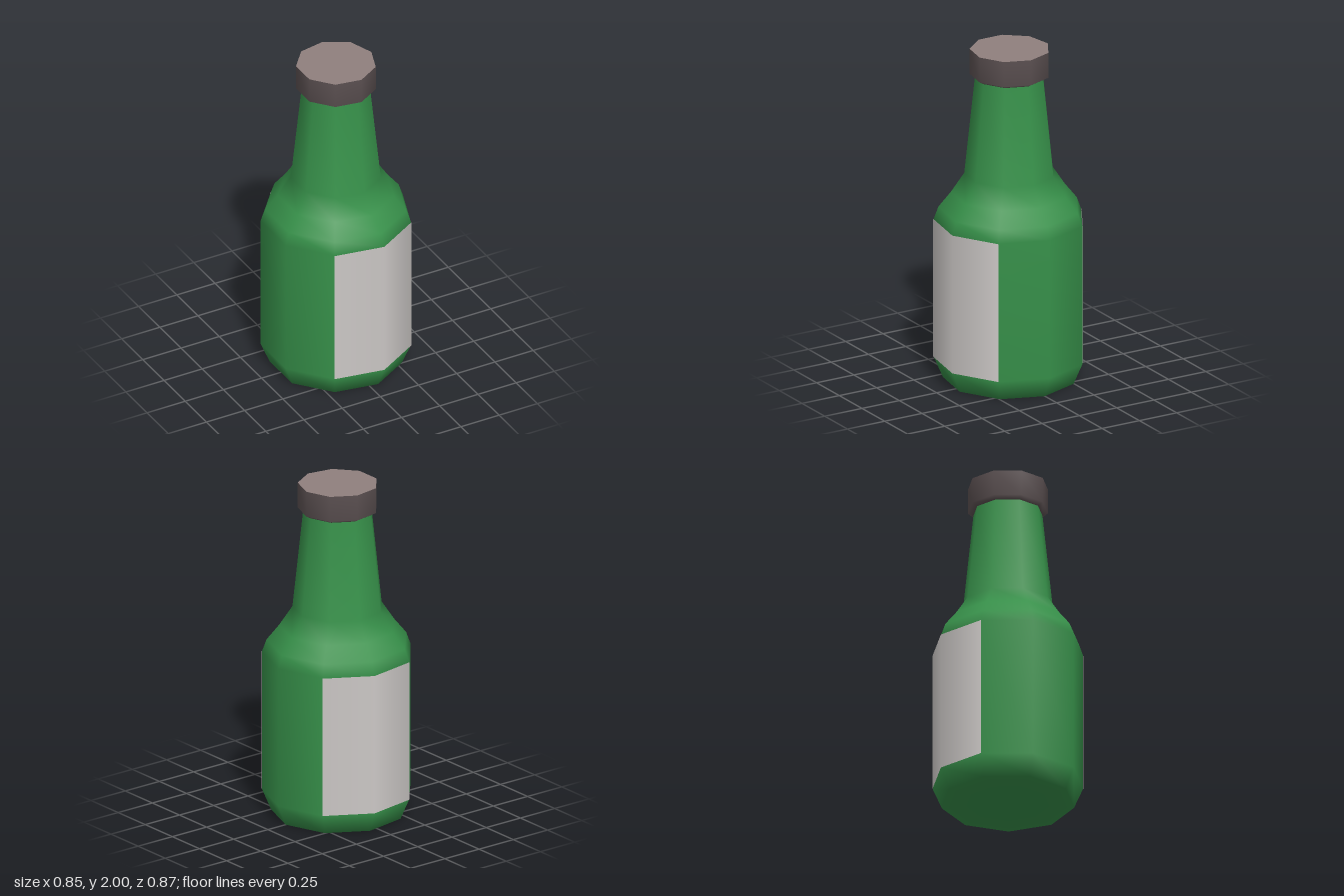
import * as THREE from 'three';

const SIDES = 9;
const STEP = (Math.PI * 2) / SIDES;

const green = new THREE.MeshStandardMaterial({ name: 'greenGlass', color: 0x37914a });
const paper = new THREE.MeshStandardMaterial({ name: 'labelPaper', color: 0xcdc9c7 });
const capSide = new THREE.MeshStandardMaterial({ name: 'capSide', color: 0x5c5152 });
const capTop = new THREE.MeshStandardMaterial({ name: 'capTop', color: 0x8f7f7d });
paper.side = THREE.DoubleSide;

// Turned part; the first corner of a full turn lies on +x
function turned(name, profile, material, segments = SIDES, start = Math.PI / 2) {
  const points = profile.map(([r, y]) => new THREE.Vector2(r, y));
  const mesh = new THREE.Mesh(new THREE.LatheGeometry(points, segments, start, segments * STEP), material);
  mesh.name = name;
  return mesh;
}

export function createModel() {
  const bottle = new THREE.Group();
  bottle.name = 'bottle';

  // Glass body with shoulder and neck
  bottle.add(turned('glassBody', [
    [0, 0], [0.384, 0], [0.437, 0.125], [0.437, 0.965], [0.41, 1.04],
    [0.338, 1.13], [0.262, 1.245], [0.2, 1.84],
  ], green));

  // Front and back labels, each wrapping two sides
  const labelProfile = [[0.44, 0.125], [0.44, 0.965]];
  const deg = Math.PI / 180;
  bottle.add(turned('frontLabel', labelProfile, paper, 2, -30 * deg));
  bottle.add(turned('backLabel', labelProfile, paper, 2, 130 * deg));

  // Cap: bevelled ring and flat top
  bottle.add(turned('capRing', [[0.18, 1.83], [0.2, 1.83], [0.232, 1.848], [0.232, 2]], capSide));
  const top = new THREE.Mesh(new THREE.CircleGeometry(0.232, SIDES).rotateX(-Math.PI / 2), capTop);
  top.position.y = 2;
  top.name = 'capTop';
  bottle.add(top);

  // Centre the nine-sided outline on x
  bottle.children.forEach((part) => { part.position.x = -0.0132; });
  const model = new THREE.Group();
  model.add(bottle);
  return model;
}
